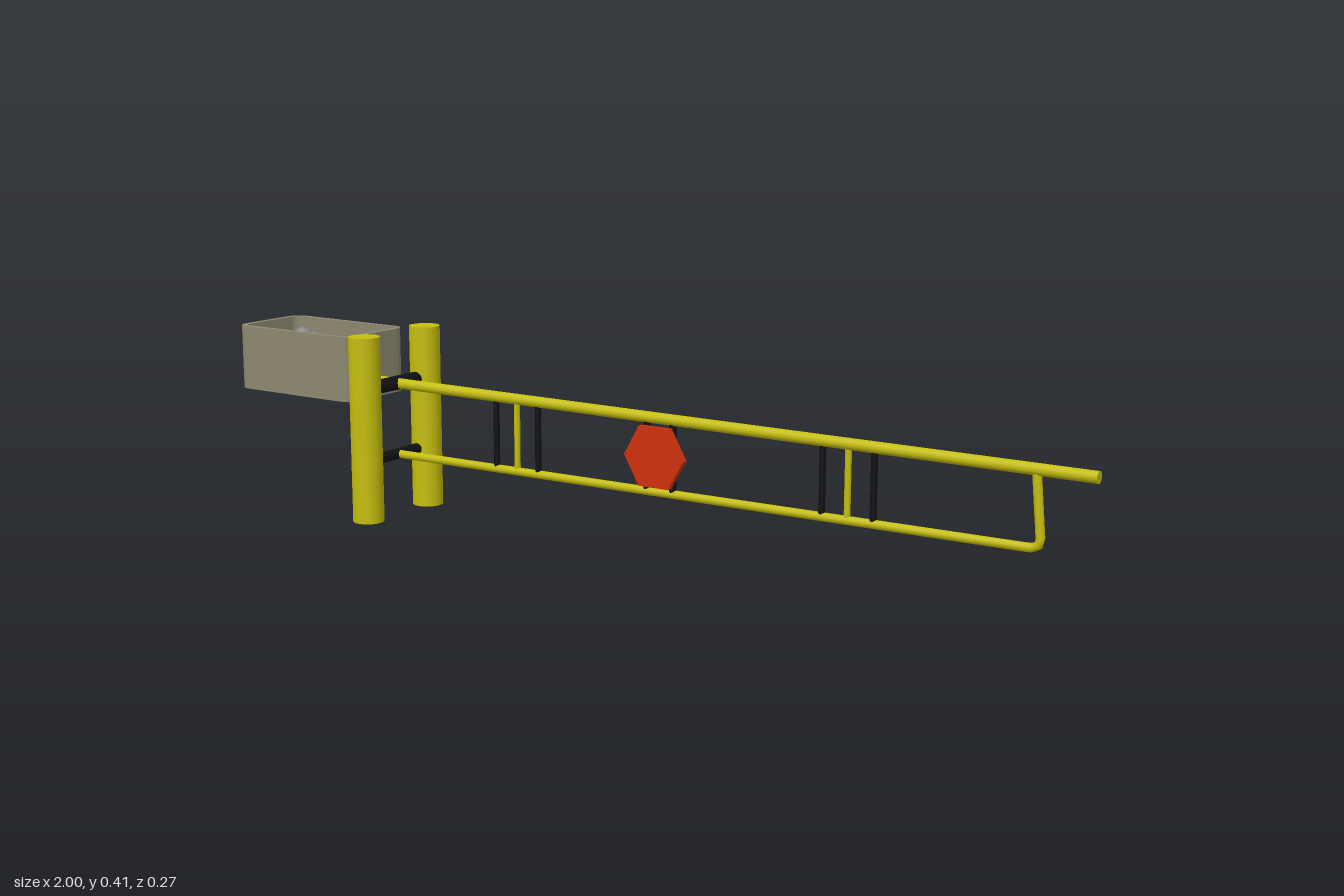
import * as THREE from 'three';

const mat = (color) => new THREE.MeshStandardMaterial({ color });

export function createModel() {
  const model = new THREE.Group();
  const yellow = mat(0xc4bd0e), black = mat(0x111111), red = mat(0xd0300c);
  const stone = mat(0x8c8870), steel = mat(0x88888c);

  const add = (name, geometry, material, parent = model) => {
    const mesh = new THREE.Mesh(geometry, material);
    mesh.name = name;
    parent.add(mesh);
    return mesh;
  };

  // Round bar between two points
  const bar = (name, a, b, radius, material, sides = 20) => {
    const from = new THREE.Vector3(...a), to = new THREE.Vector3(...b);
    const dir = to.clone().sub(from);
    const mesh = add(name, new THREE.CylinderGeometry(radius, radius, dir.length(), sides), material);
    mesh.position.copy(from).add(to).multiplyScalar(0.5);
    mesh.quaternion.setFromUnitVectors(new THREE.Vector3(0, 1, 0), dir.normalize());
    return mesh;
  };

  // Pair of posts joined by two axles
  const postX = -0.615;
  for (const s of [-1, 1]) {
    bar(s > 0 ? 'frontPost' : 'backPost', [postX, 0, s * 0.099], [postX, 0.405, s * 0.099], 0.034, yellow, 40);
  }
  bar('upperAxle', [postX, 0.29, -0.07], [postX, 0.29, 0.07], 0.0155, black);
  bar('lowerAxle', [postX, 0.132, -0.07], [postX, 0.132, 0.07], 0.012, black);

  // Boom arm
  bar('boom', [-0.68, 0.29, 0], [1, 0.29, 0], 0.0115, yellow);

  // Lower rail, bent up to the boom near the tip
  const railY = (x) => 0.132 + (x - postX) * 0.009;
  const path = new THREE.CurvePath();
  const p = (x, y) => new THREE.Vector3(x, y, 0);
  path.add(new THREE.LineCurve3(p(postX, railY(postX)), p(0.875, railY(0.875))));
  path.add(new THREE.QuadraticBezierCurve3(p(0.875, railY(0.875)), p(0.9, 0.146), p(0.896, 0.168)));
  path.add(new THREE.LineCurve3(p(0.896, 0.168), p(0.884, 0.288)));
  add('lowerRail', new THREE.TubeGeometry(path, 120, 0.0088, 14), yellow);

  // Upright bars between boom and rail
  const upright = (name, x, radius, material) =>
    bar(name, [x, railY(x), 0], [x, 0.29, 0], radius, material, 14);
  for (const x of [-0.28, 0.507]) {
    upright('blackUpright', x - 0.055, 0.0065, black);
    upright('yellowUpright', x, 0.0065, yellow);
    upright('blackUpright', x + 0.055, 0.0065, black);
  }
  for (const x of [0.05, 0.112]) upright('signUpright', x, 0.0075, black);

  // Six-sided sign plate on the front of the uprights
  const plate = add('signPlate', new THREE.CylinderGeometry(0.071, 0.071, 0.013, 6).toNonIndexed(), red);
  plate.geometry.computeVertexNormals();
  plate.geometry.rotateY(Math.PI / 6).rotateX(Math.PI / 2);
  plate.position.set(0.079, 0.213, 0.0145);

  // Counterweight tray: rounded walls around a raised floor
  const tray = new THREE.Group();
  tray.name = 'counterweight';
  tray.position.set(-0.834, 0.255, 0);
  model.add(tray);
  const outline = (Type, w, d, r) => {
    const o = new Type(), x = w / 2, y = d / 2, h = Math.PI / 2;
    o.moveTo(-x + r, -y);
    o.lineTo(x - r, -y).absarc(x - r, -y + r, r, -h, 0);
    o.lineTo(x, y - r).absarc(x - r, y - r, r, 0, h);
    o.lineTo(-x + r, y).absarc(-x + r, y - r, r, h, 2 * h);
    o.lineTo(-x, -y + r).absarc(-x + r, -y + r, r, 2 * h, 3 * h);
    return o;
  };
  const slab = (shape, depth) => new THREE.ExtrudeGeometry(shape, { depth, bevelEnabled: false, curveSegments: 8 })
    .rotateX(-Math.PI / 2);
  const wall = outline(THREE.Shape, 0.332, 0.194, 0.03);
  wall.holes.push(outline(THREE.Path, 0.306, 0.168, 0.018));
  add('trayWalls', slab(wall, 0.142), stone, tray);
  add('trayFloor', slab(outline(THREE.Shape, 0.31, 0.172, 0.02), 0.082), stone, tray);

  // Loose weights lying in the tray
  for (const [x, z] of [[-0.927, -0.04], [-0.857, 0], [-0.744, 0.025]]) {
    const ball = add('weightBall', new THREE.SphereGeometry(0.022, 20, 14), steel, tray);
    ball.position.set(x + 0.834, 0.104, z);
  }
  return model;
}
